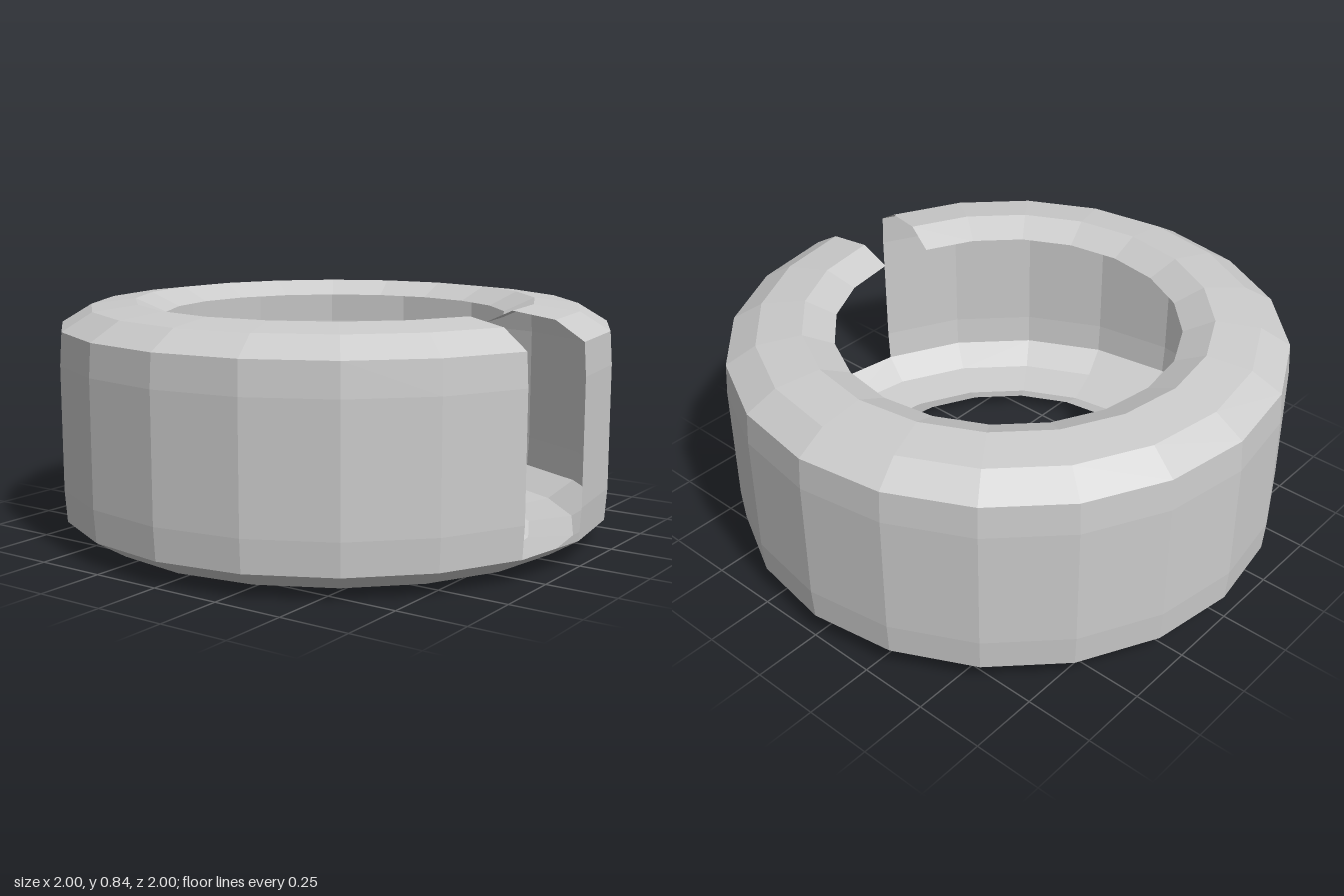
import * as THREE from 'three';

const SIDES = 20;
const STEP = (Math.PI * 2) / SIDES;
const HEIGHT = 0.84;

// Lower half of the hollow ring's section, as [radius, height] from the inner lip outwards
const SIDEWALL = [[0.615, 0.05], [0.725, 0], [0.885, 0.02], [0.992, 0.085]];
const SHOULDER = [1, 0.2];

const flip = ([r, y]) => [r, HEIGHT - y];

export function createModel() {
  const group = new THREE.Group();
  group.name = 'hollowRing';
  const material = new THREE.MeshStandardMaterial({
    color: 0xcccccc, flatShading: true, side: THREE.DoubleSide,
  });

  function addRing(name, profile, segments) {
    const points = profile.map(([r, y]) => new THREE.Vector2(r, y));
    const mesh = new THREE.Mesh(
      new THREE.LatheGeometry(points, segments, 0, segments * STEP), material);
    mesh.name = name;
    group.add(mesh);
  }

  const upper = SIDEWALL.map(flip).reverse();
  const rim = SIDEWALL[SIDEWALL.length - 1];

  // The lower sidewall is a full ring; the tread and upper sidewall leave one segment open
  addRing('lowerSidewall', SIDEWALL, SIDES);
  addRing('tread', [rim, SHOULDER, flip(SHOULDER), flip(rim)], SIDES - 1);
  addRing('upperSidewall', upper, SIDES - 1);

  return group;
}
